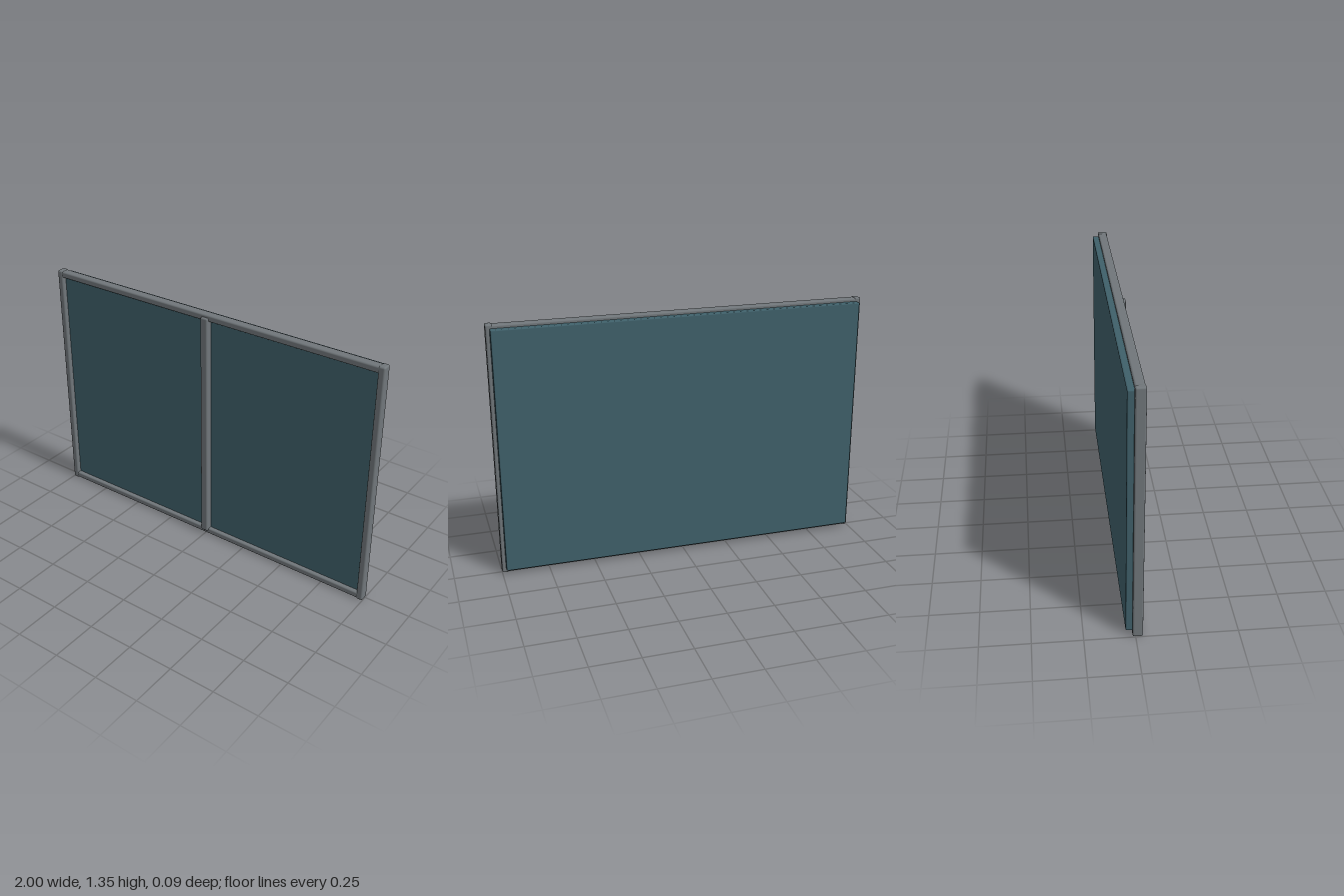
import * as THREE from 'three';
import { RoundedBoxGeometry } from 'three/addons/geometries/RoundedBoxGeometry.js';

export function createModel() {
  const group = new THREE.Group();
  group.name = 'windowPanel';

  const frameMat = new THREE.MeshStandardMaterial({ color: 0x70767a });
  frameMat.name = 'frame grey';
  const glassMat = new THREE.MeshStandardMaterial({ color: 0x3f606a });
  glassMat.name = 'teal glass';

  // Rounded bar given by its extents along each axis
  function bar(name, mat, [x0, x1], [y0, y1], [z0, z1], radius) {
    const geometry = new RoundedBoxGeometry(x1 - x0, y1 - y0, z1 - z0, 2, radius);
    const mesh = new THREE.Mesh(geometry, mat);
    mesh.name = name;
    mesh.position.set((x0 + x1) / 2, (y0 + y1) / 2, (z0 + z1) / 2);
    group.add(mesh);
  }

  const height = 1.348;
  const frameZ = [-0.015, 0.036];

  // Glass slab, set behind the frame front and standing out at the back
  bar('glassPane', glassMat, [-0.98, 0.98], [0.024, 1.328], [-0.047, 0.012], 0.007);

  // Side posts
  bar('leftPost', frameMat, [0.965, 1], [0, height], frameZ, 0.009);
  bar('rightPost', frameMat, [-1, -0.965], [0, height], frameZ, 0.009);

  // Top and bottom rails, a hair inside the post ends
  bar('bottomRail', frameMat, [-0.985, 0.985], [0.003, 0.038], [-0.014, 0.034], 0.009);
  bar('topRail', frameMat, [-0.985, 0.985], [height - 0.038, height - 0.003], [-0.014, 0.034], 0.009);

  // Centre mullion, proud of the frame
  bar('centreMullion', frameMat, [-0.022, 0.022], [0.024, 1.33], [0.002, 0.047], 0.009);

  return group;
}
